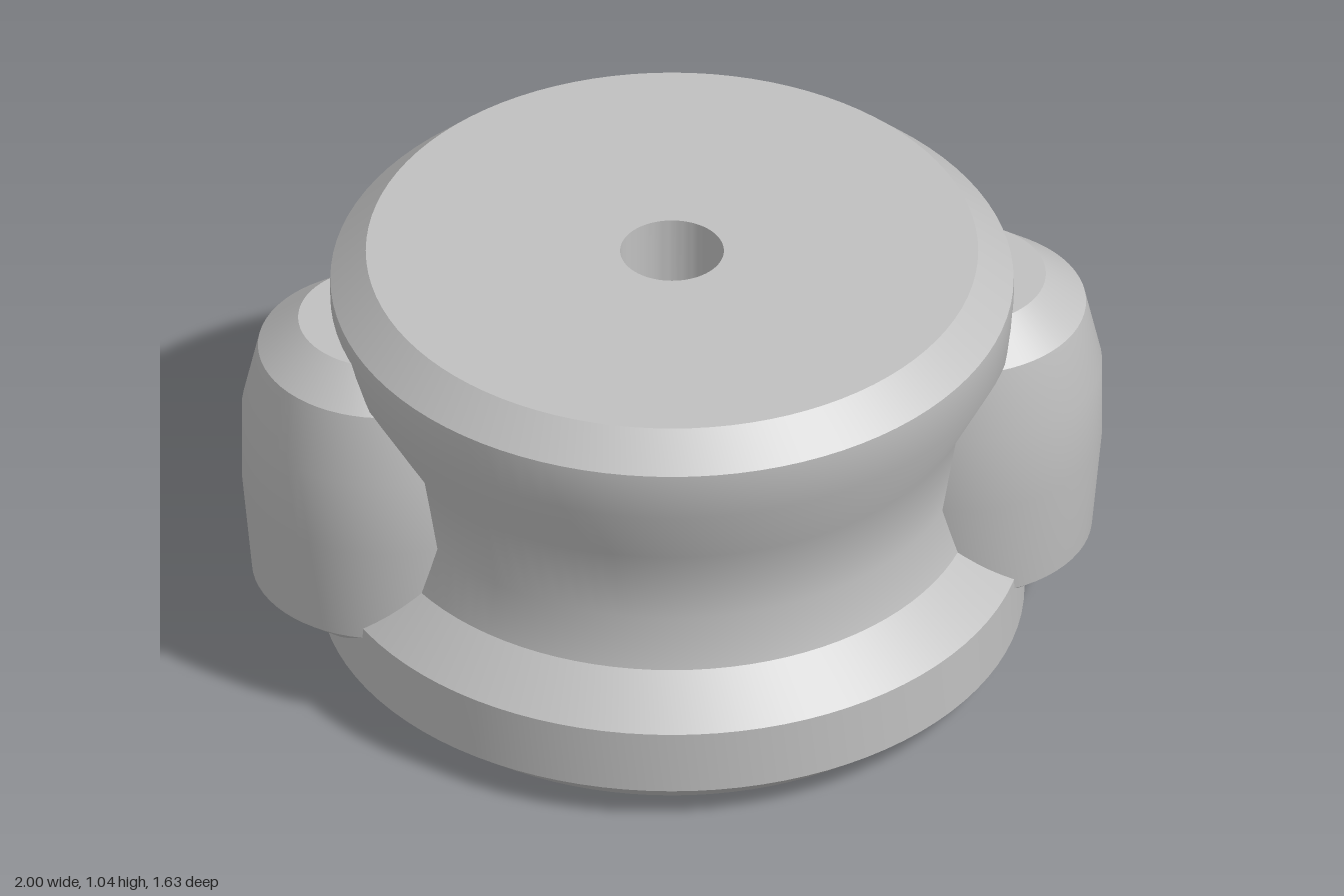
import * as THREE from 'three';
import { toCreasedNormals } from 'three/addons/utils/BufferGeometryUtils.js';

// Revolve an [radius, height] profile, keeping chamfer edges sharp
function turned(profile, segments) {
  const points = profile.map(([r, y]) => new THREE.Vector2(r, y));
  return toCreasedNormals(new THREE.LatheGeometry(points, segments), Math.PI / 6);
}

export function createModel() {
  const model = new THREE.Group();
  model.name = 'groovedWheel';
  const grey = new THREE.MeshStandardMaterial({ color: 0xc0c0c0 });
  grey.name = 'grey';

  // Waisted body with chamfered rims and a bore through the axis
  const body = new THREE.Mesh(turned([
    [0.12, 0], [0.715, 0], [0.815, 0.083], [0.815, 0.243], [0.70, 0.345],
    [0.67, 0.47], [0.70, 0.665], [0.79, 0.84], [0.79, 0.958], [0.708, 1.037],
    [0.12, 1.037], [0.12, 0],
  ], 96), grey);
  body.name = 'body';
  model.add(body);

  // Barrel-shaped lugs sunk into both sides of the waist
  const lugGeometry = turned([
    [0, 0.122], [0.197, 0.122], [0.307, 0.215], [0.33, 0.47], [0.33, 0.665],
    [0.293, 0.832], [0.2, 0.91], [0, 0.91],
  ], 64);
  for (const side of [1, -1]) {
    const lug = new THREE.Mesh(lugGeometry, grey);
    lug.name = side > 0 ? 'leftLug' : 'rightLug';
    lug.position.x = side * 0.67;
    model.add(lug);
  }
  return model;
}
